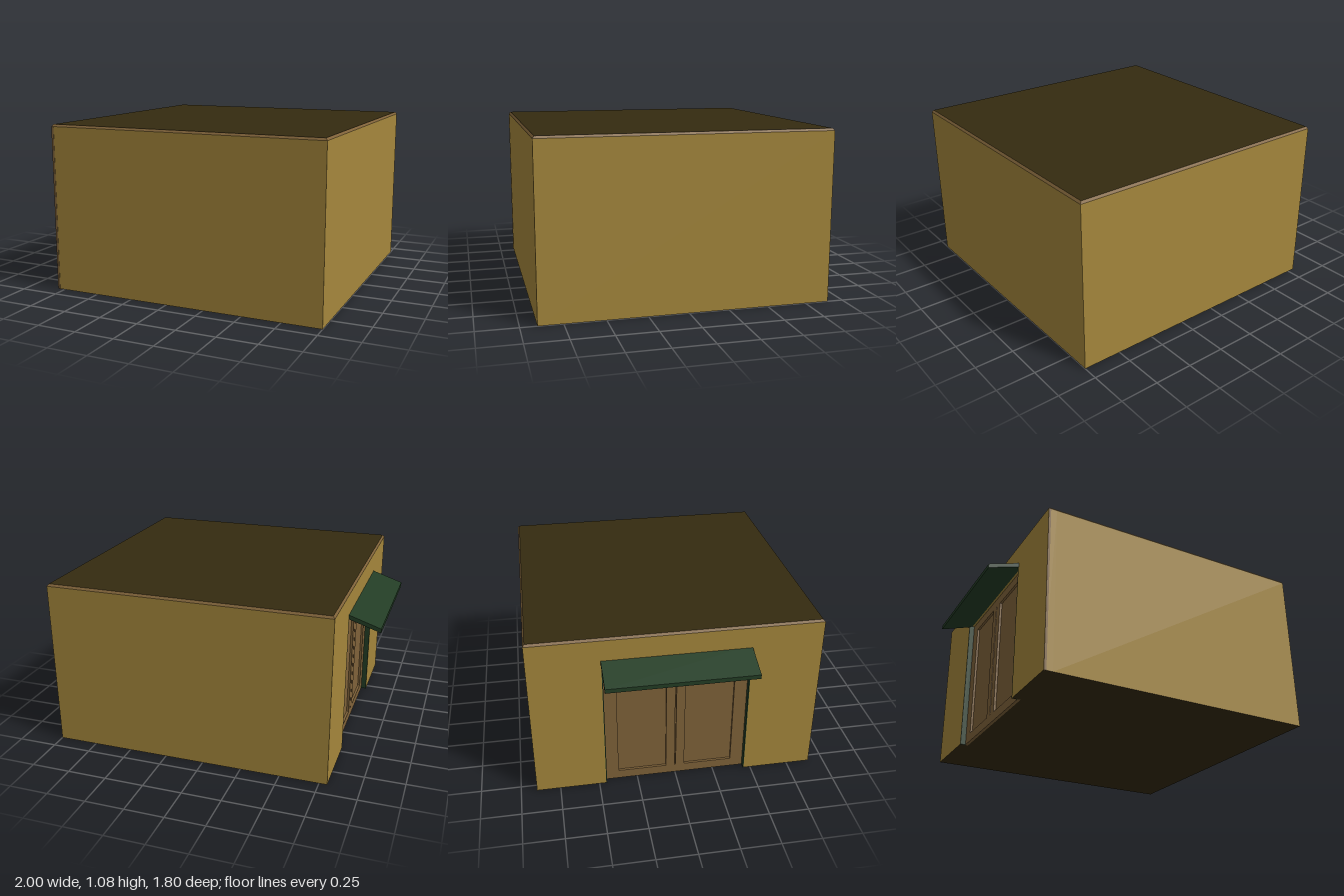
import * as THREE from 'three';

export function createModel() {
  const model = new THREE.Group();
  const material = (name, color) => {
    const m = new THREE.MeshStandardMaterial({ color });
    m.name = name;
    return m;
  };
  const ochre = material('ochre wall', 0xa5873c);
  const roofBrown = material('dark roof brown', 0x352b10);
  const woodBrown = material('wood brown', 0x80633a);
  const green = material('dark green', 0x233d25);

  const add = (name, geometry, mat, parent = model) => {
    const mesh = new THREE.Mesh(geometry, mat);
    mesh.name = name;
    parent.add(mesh);
    return mesh;
  };
  // Box given by its limits on each axis
  const box = (name, [x0, x1], [y0, y1], [z0, z1], mat, parent) => {
    const mesh = add(name, new THREE.BoxGeometry(x1 - x0, y1 - y0, z1 - z0), mat, parent);
    mesh.position.set((x0 + x1) / 2, (y0 + y1) / 2, (z0 + z1) / 2);
    return mesh;
  };

  const wallTop = 1.066, top = 1.08;
  const faceX = -0.8, recessX = -0.765, panelX = -0.745;
  const doorHalf = 0.457, doorTop = 0.91;
  const sides = [ochre, ochre, roofBrown, roofBrown, ochre, ochre];

  // Main block, and the doorway wall in front of it
  box('building', [panelX, 1], [0, wallTop], [-0.9, 0.9], sides);
  for (const s of [-1, 1]) {
    const z = s < 0 ? [-0.9, -doorHalf] : [doorHalf, 0.9];
    box('doorwayWall', [faceX, panelX], [0, wallTop], z, sides);
  }
  box('lintelWall', [faceX, panelX], [doorTop, wallTop], [-doorHalf, doorHalf], ochre);

  // Bevelled roof rim, closed by the flat roof
  const rimGeometry = new THREE.CylinderGeometry(1.778 * Math.SQRT1_2, 1.8 * Math.SQRT1_2,
    top - wallTop, 4, 1, true).rotateY(Math.PI / 4).toNonIndexed();
  rimGeometry.computeVertexNormals();
  add('roofRim', rimGeometry, woodBrown).position.set(0.1, (wallTop + top) / 2, 0);
  const roof = add('roof', new THREE.PlaneGeometry(1.778, 1.778).rotateX(-Math.PI / 2), roofBrown);
  roof.position.set(0.1, top, 0);

  // Worn strip at the front corner
  box('cornerTrim', [faceX, -0.785], [0, wallTop], [0.895, 0.902], woodBrown);

  // Recessed double door: flat panels behind stiles and rails
  const door = new THREE.Group();
  door.name = 'doubleDoor';
  model.add(door);
  box('doorPanels', [panelX - 0.005, panelX], [0, doorTop], [-doorHalf, doorHalf], woodBrown, door);
  for (const [z0, z1] of [[-doorHalf, -0.37], [-0.06, -0.004], [0.004, 0.06], [0.37, doorHalf]]) {
    box('doorStile', [recessX, panelX], [0, doorTop], [z0, z1], woodBrown, door);
  }
  for (const [y0, y1] of [[0, 0.06], [0.85, doorTop]]) {
    box('doorRail', [recessX, panelX], [y0, y1], [-doorHalf, doorHalf], woodBrown, door);
  }

  // Green lining of the doorway
  for (const s of [-1, 1]) {
    const z = [s * doorHalf, s * (doorHalf - 0.006)].sort((a, b) => a - b);
    box('doorJamb', [faceX, recessX], [0, doorTop], z, green);
  }

  // Sloping awning over the doorway
  const profile = new THREE.Shape([[-1, 0.836], [-0.78, 0.909], [-0.78, 0.936], [-1, 0.863]]
    .map(([x, y]) => new THREE.Vector2(x, y)));
  const awning = new THREE.ExtrudeGeometry(profile, { depth: 0.92, bevelEnabled: false });
  add('awning', awning.translate(0, 0, -0.46), green);

  return model;
}
